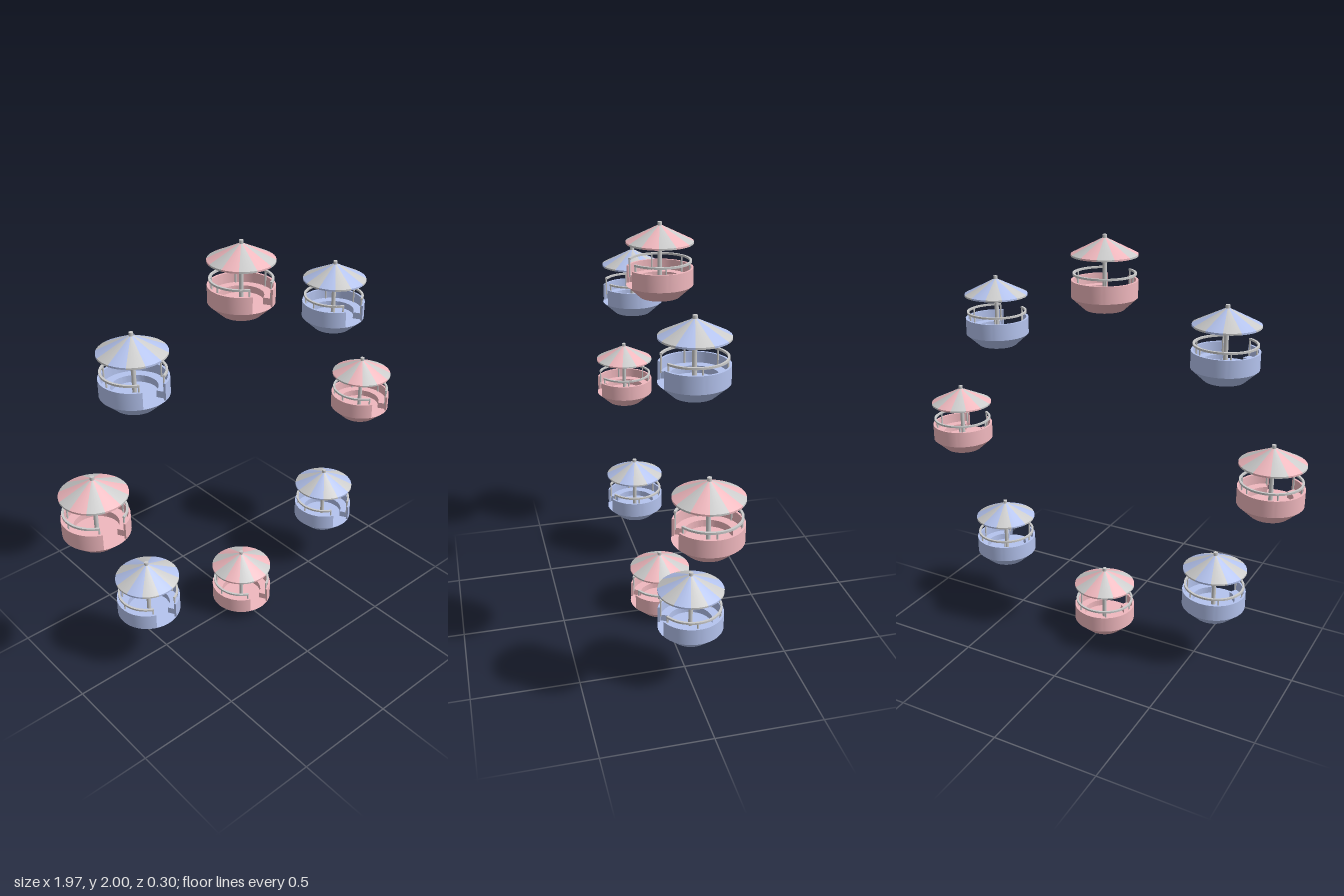
import * as THREE from 'three';
import { toCreasedNormals } from 'three/addons/utils/BufferGeometryUtils.js';

const RING = 0.833;            // radius of the wheel
const GAP = Math.PI / 8;       // half angle of the doorway, which faces +z
const grey = new THREE.MeshStandardMaterial({ color: 0xcccccc });
const pink = new THREE.MeshStandardMaterial({ color: 0xf0b8be });
const blue = new THREE.MeshStandardMaterial({ color: 0xb4c3ee });

// C-shaped ring, open at the front, from y0 to y1
function openRing(rIn, rOut, y0, y1, gap) {
  const a = -Math.PI / 2 + gap, b = 1.5 * Math.PI - gap;
  const shape = new THREE.Shape();
  shape.absarc(0, 0, rOut, a, b, false);
  shape.absarc(0, 0, rIn, b, a, true);
  shape.closePath();
  const geo = new THREE.ExtrudeGeometry(shape, { depth: y1 - y0, bevelEnabled: false, curveSegments: 40 });
  geo.rotateX(-Math.PI / 2).translate(0, y0, 0);
  return toCreasedNormals(geo, 0.6);
}

function part(group, name, geo, mat, x = 0, y = 0, z = 0) {
  const mesh = new THREE.Mesh(geo, mat);
  mesh.name = name;
  mesh.position.set(x, y, z);
  group.add(mesh);
}

function cabin(paint) {
  const g = new THREE.Group();

  // Tapered tub, wall with doorway, and bench around the inside
  part(g, 'tub', new THREE.CylinderGeometry(0.15, 0.09, 0.055, 40), paint, 0, 0.0275);
  part(g, 'wall', openRing(0.14, 0.15, 0.055, 0.133, GAP), paint);
  part(g, 'bench', openRing(0.1, 0.1405, 0.055, 0.086, GAP * 1.25), paint);

  // Handrail on short posts
  part(g, 'handrail', openRing(0.133, 0.143, 0.156, 0.165, GAP * 1.15), grey);
  const first = GAP * 1.2, posts = 6;
  for (let i = 0; i < posts; i++) {
    const a = first + (i / (posts - 1)) * (2 * Math.PI - 2 * first);
    part(g, 'railPost', new THREE.CylinderGeometry(0.004, 0.004, 0.08, 8), grey,
      0.138 * Math.sin(a), 0.12, 0.138 * Math.cos(a));
  }

  // Centre pole
  part(g, 'pole', new THREE.CylinderGeometry(0.01, 0.01, 0.278, 16), grey, 0, 0.194);

  // Striped canopy: rim, flat underside and alternating wedges
  const stripes = 12, step = (2 * Math.PI) / stripes;
  part(g, 'canopyUnderside', new THREE.CircleGeometry(0.15, 48).rotateX(Math.PI / 2), grey, 0, 0.24);
  for (let i = 0; i < stripes; i++) {
    const mat = i % 2 ? grey : paint, start = (i - 0.5) * step;
    part(g, 'canopyRim', new THREE.CylinderGeometry(0.15, 0.15, 0.008, 4, 1, true, start, step), mat, 0, 0.244);
    part(g, 'canopyStripe', new THREE.CylinderGeometry(0.004, 0.15, 0.073, 4, 1, true, start, step), mat, 0, 0.2845);
  }
  return g;
}

export function createModel() {
  const model = new THREE.Group();
  model.name = 'wheelCabins';
  // Eight upright cabins around the wheel, alternating colours
  for (let i = 0; i < 8; i++) {
    const a = (i * Math.PI) / 4;
    const c = cabin(i % 2 ? blue : pink);
    c.name = 'cabin' + (i + 1);
    c.position.set(RING * Math.sin(a), RING * (1 - Math.cos(a)), 0);
    model.add(c);
  }
  return model;
}
